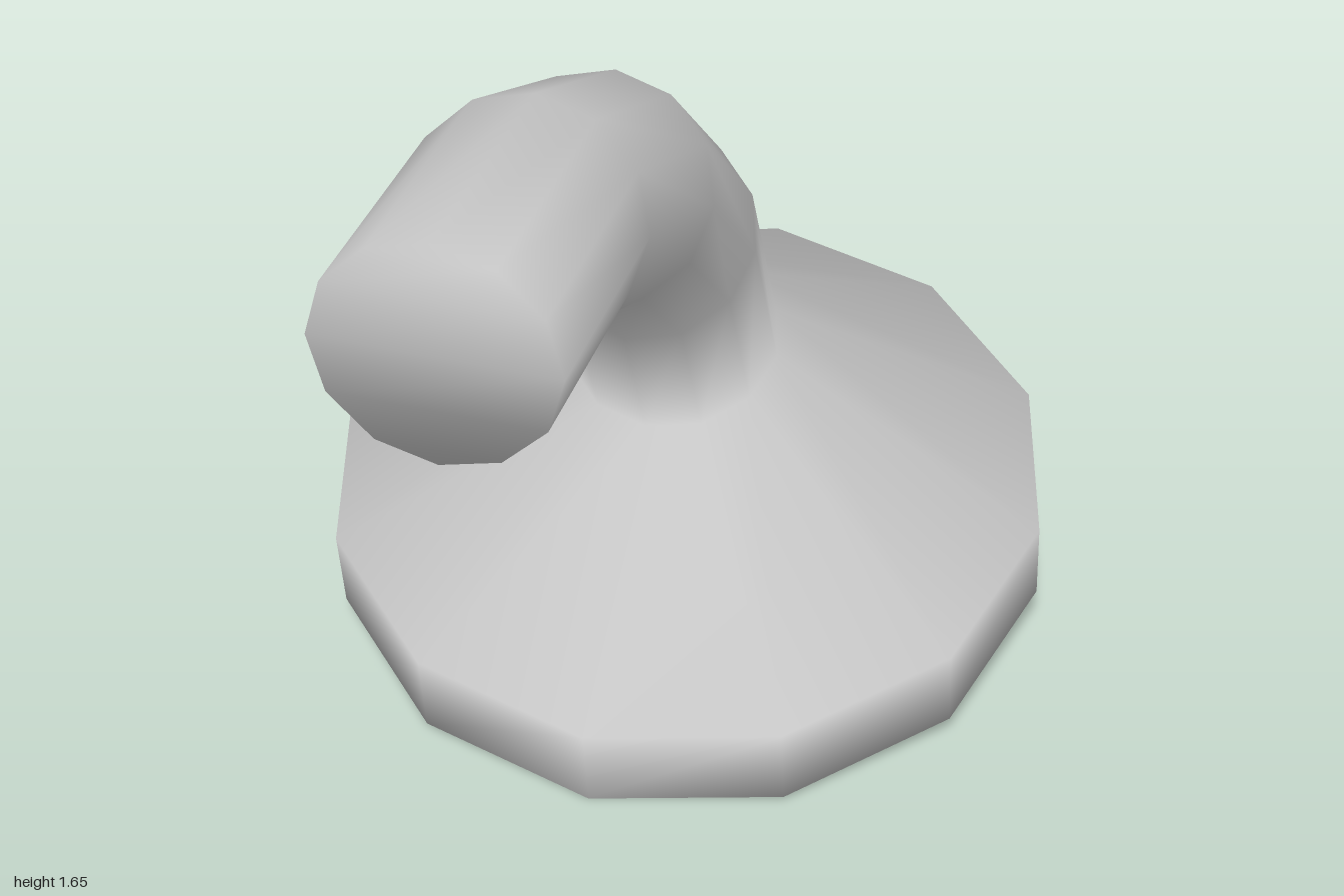
import * as THREE from 'three';

const SIDES = 12;

// Each ring: back/top point (z, y), front/bottom point (z, y), half width in x
const RINGS = [
  [-1.0, 0.21, 0.325, 0.0, 0.67],     // rim, underside
  [-0.967, 0.38, 0.355, 0.172, 0.67], // rim, upper edge
  [-0.39, 0.704, -0.03, 0.575, 0.19], // neck
  [-0.177, 1.11, 0.098, 0.854, 0.19],
  [0.139, 1.412, 0.328, 1.084, 0.19],
  [0.54, 1.61, 0.636, 1.243, 0.19],
  [1.0, 1.648, 1.0, 1.269, 0.19],     // tip
];

// Skins the rings with shared vertices and closes both ends
function loft(rings) {
  const positions = [], index = [];
  const tri = (a, b, c) => { if (a !== b && b !== c && a !== c) index.push(a, b, c); };

  for (const [z0, y0, z1, y1, rx] of rings) {
    for (let k = 0; k < SIDES; k++) {
      const a = (k / SIDES) * Math.PI * 2, t = (1 - Math.cos(a)) / 2;
      positions.push(rx * Math.sin(a), y0 + (y1 - y0) * t, z0 + (z1 - z0) * t);
    }
  }

  // Walls
  for (let r = 0; r < rings.length - 1; r++) {
    for (let k = 0; k < SIDES; k++) {
      const n = (k + 1) % SIDES, lo = r * SIDES, up = lo + SIDES;
      tri(lo + n, lo + k, up + k);
      tri(lo + n, up + k, up + n);
    }
  }

  // End caps, laid in strips from side to side
  const top = (rings.length - 1) * SIDES;
  for (let k = 0; k < SIDES / 2; k++) {
    const b = k + 1, c = SIDES - 1 - k, d = (SIDES - k) % SIDES;
    tri(k, b, c);
    tri(k, c, d);
    tri(top + c, top + b, top + k);
    tri(top + d, top + c, top + k);
  }

  const geometry = new THREE.BufferGeometry();
  geometry.setAttribute('position', new THREE.Float32BufferAttribute(positions, 3));
  geometry.setIndex(index);
  geometry.computeVertexNormals();
  return geometry;
}

export function createModel() {
  const group = new THREE.Group();
  group.name = 'showerHead';
  // Flared head and bent pipe in one continuous skin
  const body = new THREE.Mesh(loft(RINGS), new THREE.MeshStandardMaterial({ color: 0xcccccc }));
  body.name = 'headAndPipe';
  group.add(body);
  return group;
}
